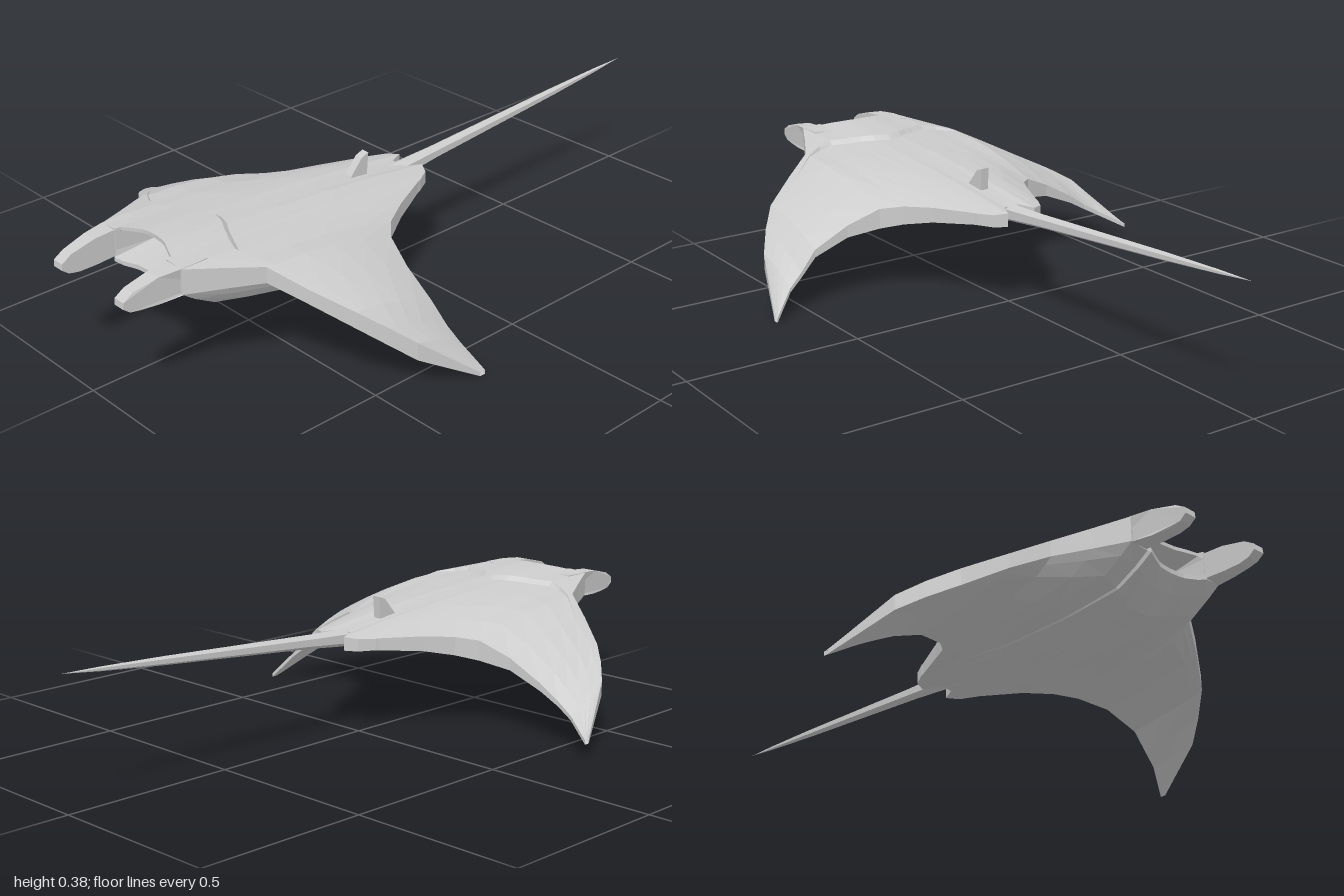
import * as THREE from 'three';

const material = new THREE.MeshStandardMaterial({ color: 0xcccccc, flatShading: true, side: THREE.DoubleSide });

// Chord sections by distance from the midline:
// [u, frontZ, frontTop, frontBottom, rearZ, rearTop, rearBottom, topBulge, bellyDepth, seamZ, seamStep, mouthDepth]
const middle = [
  [0, .795, .375, .27, -.035, .296, .255, .011, .072, .59, .012, .12],
  [.025, .797, .375, .27, -.04, .296, .255, .011, .07, .597, .012, .12],
  [.045, .80, .374, .27, -.085, .294, .255, .012, .066, .605, .012, .12],
  [.08, .815, .37, .272, -.065, .29, .255, .014, .061, .625, .012, .11],
  [.105, .825, .366, .278, -.02, .288, .255, .017, .06, .635, .012, .1],
  [.108, .84, .365, .285, -.01, .288, .254, .017, .06, .637, .012, 0],
  [.165, .84, .36, .29, .11, .283, .24, .02, .056, .662, .012, 0],
  [.21, .75, .348, .29, .19, .275, .222, .02, .045, .655, .01, 0],
  [.26, .655, .335, .29, .237, .265, .207, .02, .028, .63, .004, 0],
];
// Wings: [u, frontZ, frontTop, frontBottom, rearZ, rearTop, rearBottom, topBulge, bellyDepth]
const wing = (rows) => rows.map((r) => [...r, r[1] - .12 * (r[1] - r[4]), 0, 0]);
const innerWing = [
  [.35, .60, .288, .247, .265, .225, .19, .02, .012],
  [.45, .53, .237, .19, .275, .17, .148, .015, .004],
];
const leftWing = wing([...innerWing,
  [.50, .47, .19, .14, .268, .115, .10, .01, 0],
  [.54, .41, .14, .09, .26, .08, .068, .008, 0],
  [.60, .247, .012, 0, .23, .012, 0, 0, 0],
]);
const rightWing = wing([...innerWing,
  [.51, .47, .205, .16, .28, .13, .115, .01, 0],
  [.56, .41, .172, .13, .273, .10, .088, .008, 0],
  [.64, .252, .055, .043, .236, .055, .043, 0, 0],
]);

// Belly curve from front to rear: [fraction of chord, share of belly depth]
const belly = [[1, 0], [.95, .42], [.87, .92], [.64, 1], [.4, .8], [.17, .28], [0, 0]];

// Closed outline of one section: over the back, around the mouth, under the belly
function section([u, zF, tF, bF, zR, tR, bR, bulge, depth, zS, step, mouth], side) {
  const { lerp } = THREE.MathUtils;
  const x = u * side, h = tF - bF, lip = mouth ? .025 : 0;
  const fS = (zS - zR) / (zF - zR);
  const topY = (f) => lerp(tR, tF, f) + bulge * 4 * f * (1 - f);
  const pts = [];
  for (const k of [0, .25, .5, .75, 1]) {
    const f = k * fS;
    pts.push([x, topY(f) - step * k, lerp(zR, zF, f)]);
  }
  for (const k of [.08, .5, 1]) {
    const f = lerp(fS, 1, k);
    pts.push([x, topY(f), lerp(zR, zF, f)]);
  }
  pts.push(
    [x, tF - .1 * h, zF],
    [x, tF - .28 * h, zF - mouth],
    [x, bF + .25 * h, zF - mouth],
    [x, bF + .12 * h, zF + lip],
  );
  for (const [f, w] of belly) {
    pts.push([x, lerp(bR, bF, f) - depth * w, lerp(zR, zF + lip, f)]);
  }
  return pts;
}

// Skin stretched over neighbouring sections
function loft(sections) {
  const n = sections[0].length, index = [];
  for (let i = 0; i < sections.length - 1; i++) {
    for (let j = 0; j < n; j++) {
      const k = (j + 1) % n;
      const a = i * n + j, b = i * n + k, c = b + n, d = a + n;
      index.push(a, b, c, a, c, d);
    }
  }
  const geo = new THREE.BufferGeometry();
  geo.setAttribute('position', new THREE.Float32BufferAttribute(sections.flat(2), 3));
  geo.setIndex(index);
  geo.computeVertexNormals();
  return geo;
}

// Side profile given as [z, y], extruded across x around its centre
function slab(profile, width) {
  const shape = new THREE.Shape(profile.map(([z, y]) => new THREE.Vector2(z, y)));
  const geo = new THREE.ExtrudeGeometry(shape, { depth: width, bevelEnabled: false });
  return geo.rotateY(-Math.PI / 2).translate(width / 2, 0, 0);
}

// Head fin whose outer face widens back into the cheek
function headFin(side) {
  const geo = slab([[.76, .295], [.84, .288], [.9, .284], [.95, .284], [.98, .29], [1, .305],
    [.998, .322], [.97, .34], [.9, .357], [.84, .361], [.76, .362]], .036);
  const pos = geo.attributes.position;
  for (let i = 0; i < pos.count; i++) {
    const outer = pos.getX(i) * side > 0;
    const flare = THREE.MathUtils.clamp((.95 - pos.getZ(i)) / .11, 0, 1) * .018;
    if (outer) pos.setX(i, pos.getX(i) + side * flare);
  }
  return geo.translate(side * .129, 0, 0);
}

export function createModel() {
  const group = new THREE.Group();
  group.name = 'mantaRay';
  const add = (name, geo) => {
    const mesh = new THREE.Mesh(geo, material);
    mesh.name = name;
    mesh.position.x = .018;
    group.add(mesh);
    return mesh;
  };

  // Body, head and wings in one skin
  add('bodyAndWings', loft([
    ...[...middle.slice(1), ...rightWing].reverse().map((r) => section(r, -1)),
    ...[...middle, ...leftWing].map((r) => section(r, 1)),
  ]));

  // Head fins either side of the mouth
  add('leftHeadFin', headFin(1));
  add('rightHeadFin', headFin(-1));

  // Small fin on the back
  add('dorsalFin', slab([[.168, .29], [.15, .322], [.112, .366], [.088, .375], [.095, .29]], .024));

  // Whip tail
  const tailProfile = [[0, 0], [.026, 0], [.025, .08], [.02, .2], [.016, .45], [.012, .7], [.006, .9], [0, 1.013]]
    .map(([r, l]) => new THREE.Vector2(r, l));
  const tail = add('tail', new THREE.LatheGeometry(tailProfile, 6).rotateX(-Math.PI / 2));
  tail.position.y = .273;
  tail.position.z = .02;
  tail.rotation.x = .076;

  return group;
}
